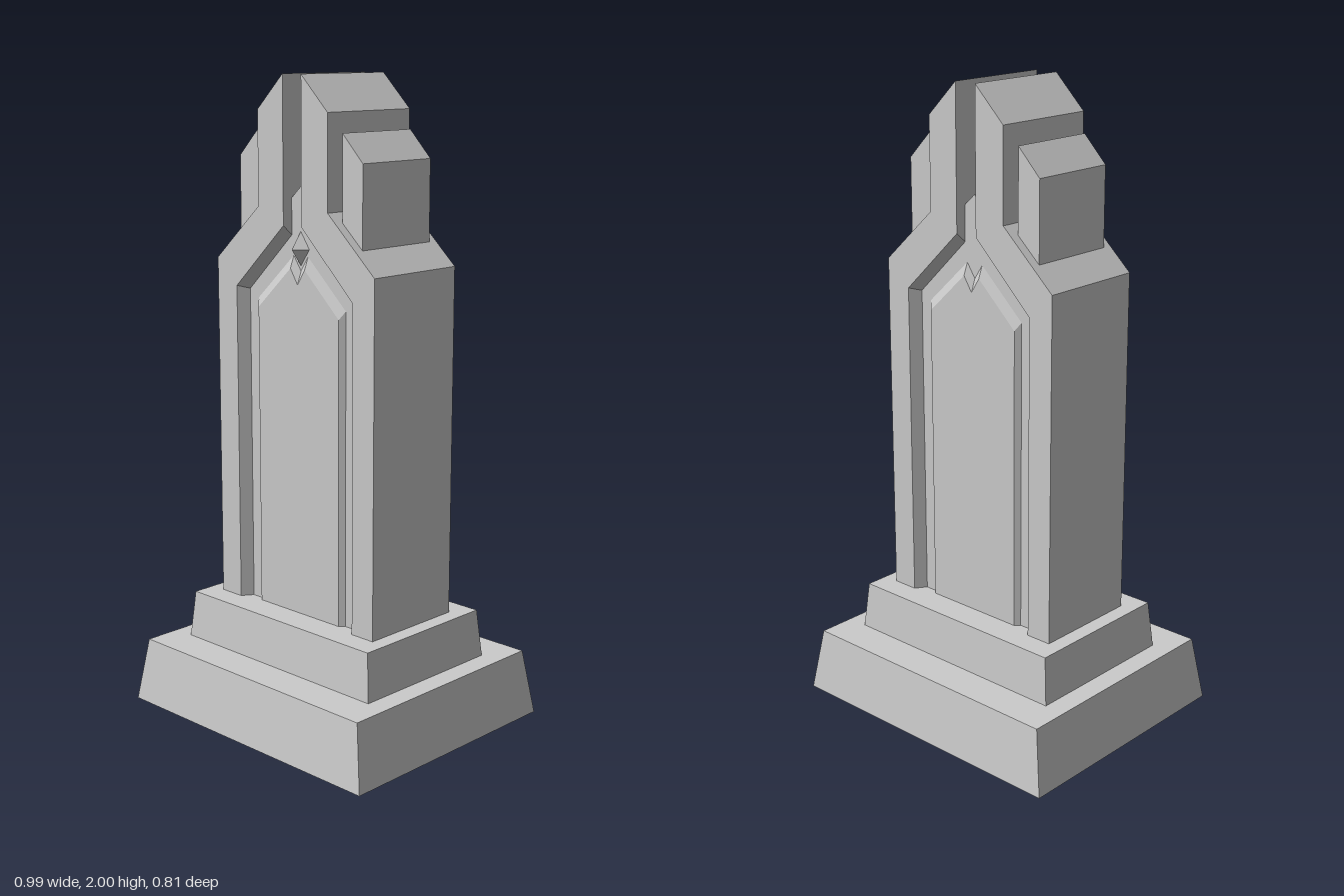
import * as THREE from 'three';

const material = new THREE.MeshStandardMaterial({ color: 0xcccccc, flatShading: true, side: THREE.DoubleSide });

// Closed solid through rings of equal point count; each ring is [outline, z], outlines counter-clockwise.
function loft(rings) {
  const n = rings[0][0].length;
  const positions = rings.flatMap(([pts, z]) => pts.flatMap(([x, y]) => [x, y, z]));
  const index = [];
  for (let r = 0; r < rings.length - 1; r++) {
    for (let i = 0; i < n; i++) {
      const a = r * n + i, b = r * n + (i + 1) % n;
      index.push(a, b, b + n, a, b + n, a + n);
    }
  }
  const last = (rings.length - 1) * n;
  const cap = THREE.ShapeUtils.triangulateShape(rings[0][0].map(([x, y]) => new THREE.Vector2(x, y)), []);
  for (const [a, b, c] of cap) index.push(c, b, a, last + a, last + b, last + c);
  const indexed = new THREE.BufferGeometry();
  indexed.setAttribute('position', new THREE.Float32BufferAttribute(positions, 3));
  indexed.setIndex(index);
  const geometry = indexed.toNonIndexed();
  geometry.computeVertexNormals();
  return geometry;
}

const slab = (pts, d) => loft([[pts, -d], [pts, d]]);
const flip = (pts) => pts.map(([x, y]) => [-x, y]).reverse();
const rect = (x, z) => [[-x, -z], [x, -z], [x, z], [-x, z]];

// Outline symmetric about x = 0: right half from bottom up, then the centre point.
const symmetric = (half, centre) => [...half, centre, ...flip(half)];

export function createModel() {
  const model = new THREE.Group();
  const add = (name, geometry) => {
    const mesh = new THREE.Mesh(geometry, material);
    mesh.name = name;
    model.add(mesh);
    return mesh;
  };

  // Two tapered plinth steps
  const tier = (name, bottom, top, y0, y1) =>
    add(name, loft([[rect(...bottom), y0], [rect(...top), y1]]).rotateX(-Math.PI / 2));
  tier('lowerPlinth', [0.497, 0.407], [0.463, 0.381], 0, 0.205);
  tier('upperPlinth', [0.395, 0.262], [0.38, 0.25], 0.205, 0.355);

  // Core wall with the small central peak
  add('core', slab(symmetric([[0.3, 0.35], [0.3, 1.4]], [0, 1.675]), 0.14));

  // Raised panel with a notched, chamfered top on both faces
  const panelOuter = symmetric([[0.185, 0.35], [0.185, 1.325], [0.03, 1.47]], [0, 1.425]);
  const panelInner = symmetric([[0.17, 0.35], [0.17, 1.3], [0.03, 1.432], ], [0, 1.385]);
  add('panel', loft([[panelInner, -0.155], [panelOuter, -0.14], [panelOuter, 0.14], [panelInner, 0.155]]));

  // Frame halves: pier, shoulder and tall fin, bevelled towards the recess
  const outside = [[0.33, 0.35], [0.33, 1.44], [0.145, 1.61], [0.145, 1.895], [0.038, 2]];
  const frameFace = [[0.245, 0.35], ...outside, [0.038, 1.56], [0.245, 1.36]];
  const frameDeep = [[0.222, 0.35], ...outside, [0.038, 1.53], [0.222, 1.35]];
  const sideFin = [[0.175, 1.5], [0.255, 1.5], [0.255, 1.755], [0.175, 1.837]];
  for (const [side, place] of [['left', (p) => p], ['right', flip]]) {
    const face = place(frameFace), deep = place(frameDeep);
    add(side + 'Frame', loft([[face, -0.175], [deep, -0.14], [deep, 0.14], [face, 0.175]]));
    add(side + 'Fin', slab(place(sideFin), 0.145));
  }

  // Pointed stud on the front
  const stud = add('stud', new THREE.ConeGeometry(1, 0.043, 4).rotateX(Math.PI / 2));
  stud.scale.set(0.04, 0.058, 1);
  stud.position.set(0, 1.492, 0.1565);

  return model;
}
